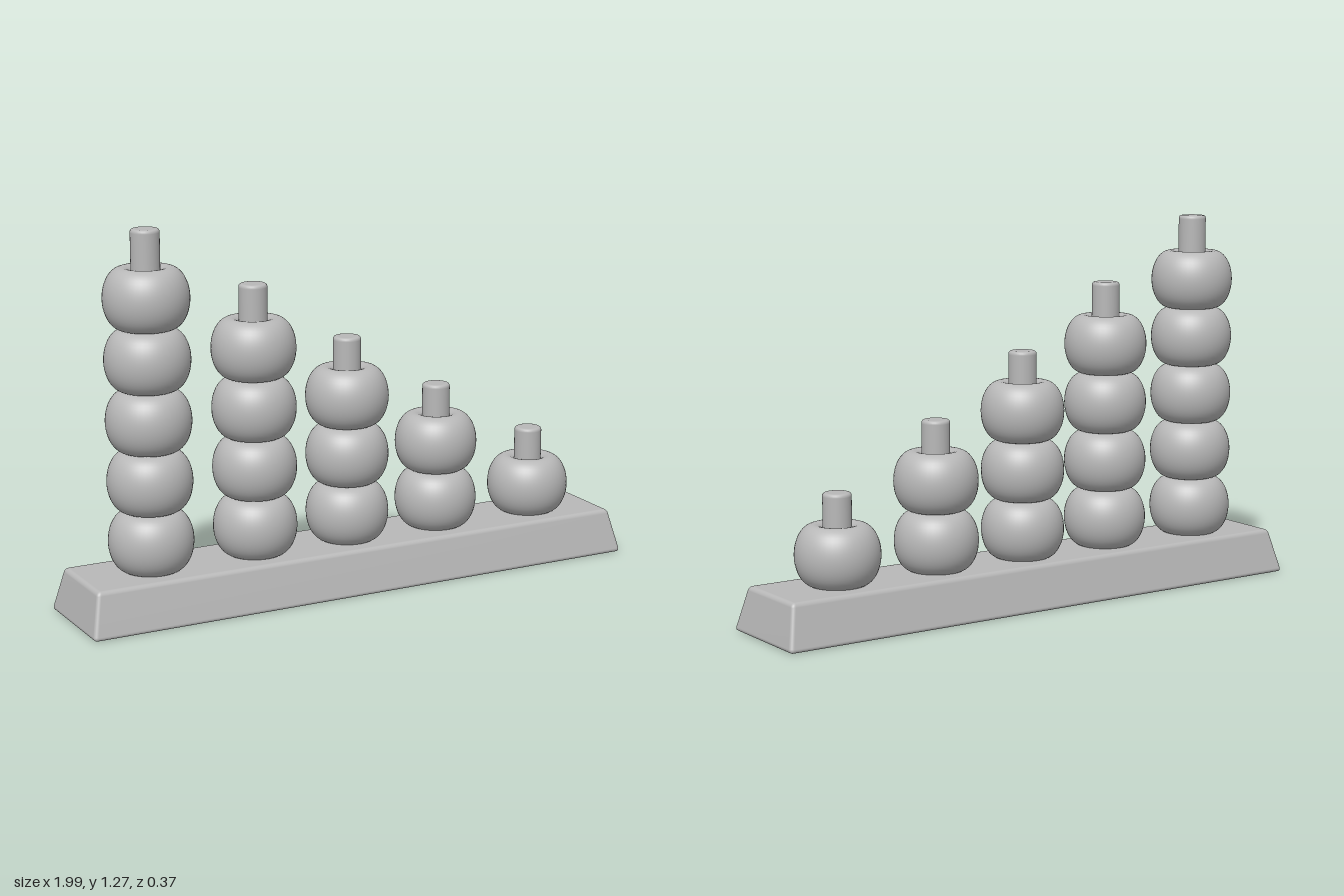
import * as THREE from 'three';
import { mergeVertices } from 'three/addons/utils/BufferGeometryUtils.js';
import { RoundedBoxGeometry } from 'three/addons/geometries/RoundedBoxGeometry.js';

const BASE_H = 0.15, BEAD_H = 0.2, PEG_R = 0.047;

// Soft-edged block, narrowing towards the top
function baseGeometry() {
  let g = new RoundedBoxGeometry(2, BASE_H, 0.374, 4, 0.014);
  const p = g.attributes.position;
  for (let i = 0; i < p.count; i++) {
    const t = p.getY(i) / BASE_H + 0.5;
    p.setX(i, p.getX(i) * (1 - 0.032 * t));
    p.setZ(i, p.getZ(i) * (1 - 0.225 * t));
  }
  g.deleteAttribute('normal');
  g.deleteAttribute('uv');
  g = mergeVertices(g, 1e-4);
  g.computeVertexNormals();
  return g.translate(0, BASE_H / 2, 0);
}

// Ring bead with an upright oval section
function beadGeometry() {
  const points = [];
  for (let i = 0; i <= 32; i++) {
    const a = -Math.PI / 2 - 0.75 + (i / 32) * (Math.PI + 1.5);
    points.push(new THREE.Vector2(0.077 + 0.063 * Math.cos(a), 0.1 * Math.sin(a)));
  }
  return new THREE.LatheGeometry(points, 48);
}

// Round peg with a slightly rounded rim
function pegGeometry(height) {
  const r = 0.01;
  const points = [new THREE.Vector2(PEG_R, 0), new THREE.Vector2(PEG_R, height - r - 0.002)];
  for (let i = 0; i <= 4; i++) {
    const a = (i / 4) * Math.PI / 2;
    points.push(new THREE.Vector2(PEG_R - r + r * Math.cos(a), height - r + r * Math.sin(a)));
  }
  points.push(new THREE.Vector2(PEG_R - r - 0.002, height), new THREE.Vector2(0, height));
  return new THREE.LatheGeometry(points, 32);
}

export function createModel() {
  const model = new THREE.Group();
  model.name = 'countingStacker';
  const grey = new THREE.MeshStandardMaterial({ color: 0xb8b8b8 });
  grey.name = 'grey';

  const add = (parent, name, geometry, y = 0) => {
    const mesh = new THREE.Mesh(geometry, grey);
    mesh.name = name;
    mesh.position.y = y;
    parent.add(mesh);
  };

  add(model, 'base', baseGeometry());

  // Five pegs carrying five beads down to one
  const bead = beadGeometry();
  const xs = [-0.72, -0.345, 0, 0.345, 0.72];
  const tops = [1.27, 1.06, 0.85, 0.65, 0.45];
  xs.forEach((x, i) => {
    const stack = new THREE.Group();
    stack.name = 'stack' + (5 - i);
    stack.position.x = x;
    add(stack, 'peg', pegGeometry(tops[i] - 0.14), 0.14);
    for (let k = 0; k < 5 - i; k++) {
      add(stack, 'bead', bead, BASE_H + BEAD_H * (k + 0.5) - 0.002);
    }
    model.add(stack);
  });
  return model;
}
